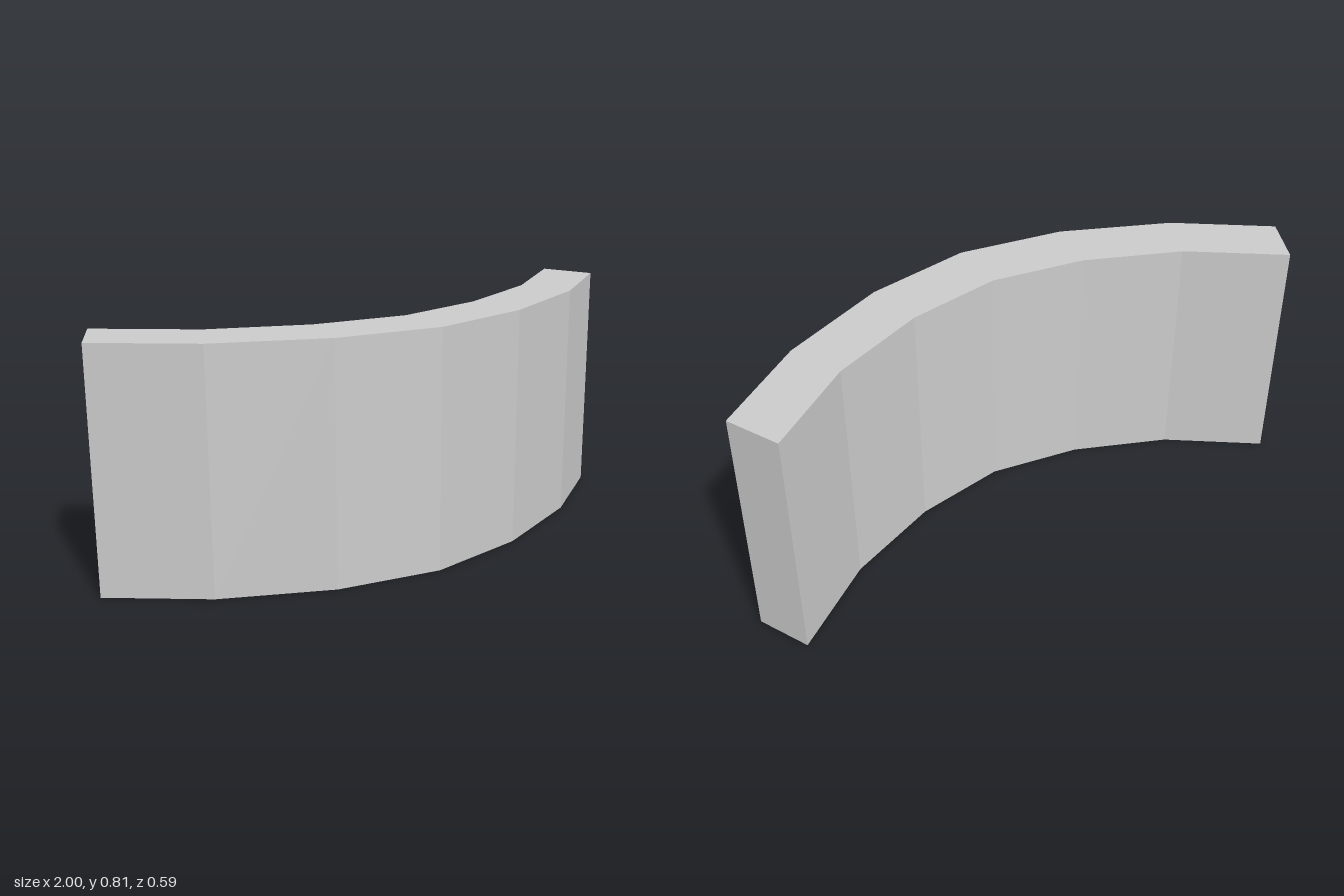
import * as THREE from 'three';

const HEIGHT = 0.815;

// Half outlines in plan as [x, z], from the middle to the left end
const OUTER = [[0, 0.295], [0.355, 0.235], [0.71, 0.083], [1, -0.127]];
const INNER = [[0, 0.093], [0.315, 0.041], [0.63, -0.088], [0.917, -0.295]];

// Full outline running from -x to +x
const mirrored = (half) => [...half.slice(1).reverse().map(([x, z]) => [-x, z]), ...half];

export function createModel() {
  const model = new THREE.Group();
  const material = new THREE.MeshStandardMaterial({
    color: 0xcccccc, flatShading: true, side: THREE.DoubleSide,
  });

  // Upright full-height panel between two plan points
  const panel = (name, [ax, az], [bx, bz], parent = model) => {
    const geometry = new THREE.PlaneGeometry(Math.hypot(bx - ax, bz - az), HEIGHT);
    const mesh = new THREE.Mesh(geometry, material);
    mesh.name = name;
    mesh.position.set((ax + bx) / 2, HEIGHT / 2, (az + bz) / 2);
    mesh.rotation.y = Math.atan2(az - bz, bx - ax);
    parent.add(mesh);
  };

  // Faceted wall following a row of plan points
  const wall = (name, points) => {
    const group = new THREE.Group();
    group.name = name;
    for (let i = 0; i < points.length - 1; i++) {
      panel(`${name}Panel${i + 1}`, points[i], points[i + 1], group);
    }
    model.add(group);
  };

  const outer = mirrored(OUTER);
  const inner = mirrored(INNER);
  const last = outer.length - 1;

  // Front and back walls, then the two end walls
  wall('frontWall', outer);
  wall('backWall', [...inner].reverse());
  panel('leftEnd', outer[last], inner[last]);
  panel('rightEnd', inner[0], outer[0]);

  // Cross walls inside the hollow body; the middle bay spans two facets
  for (const i of [1, 2, 4, 5]) panel('partition', outer[i], inner[i]);

  // Top cover; the underside stays open
  const outline = [...outer, ...[...inner].reverse()];
  const shape = new THREE.Shape(outline.map(([x, z]) => new THREE.Vector2(x, -z)));
  const top = new THREE.Mesh(new THREE.ShapeGeometry(shape).rotateX(-Math.PI / 2), material);
  top.name = 'topCover';
  top.position.y = HEIGHT;
  model.add(top);

  return model;
}
